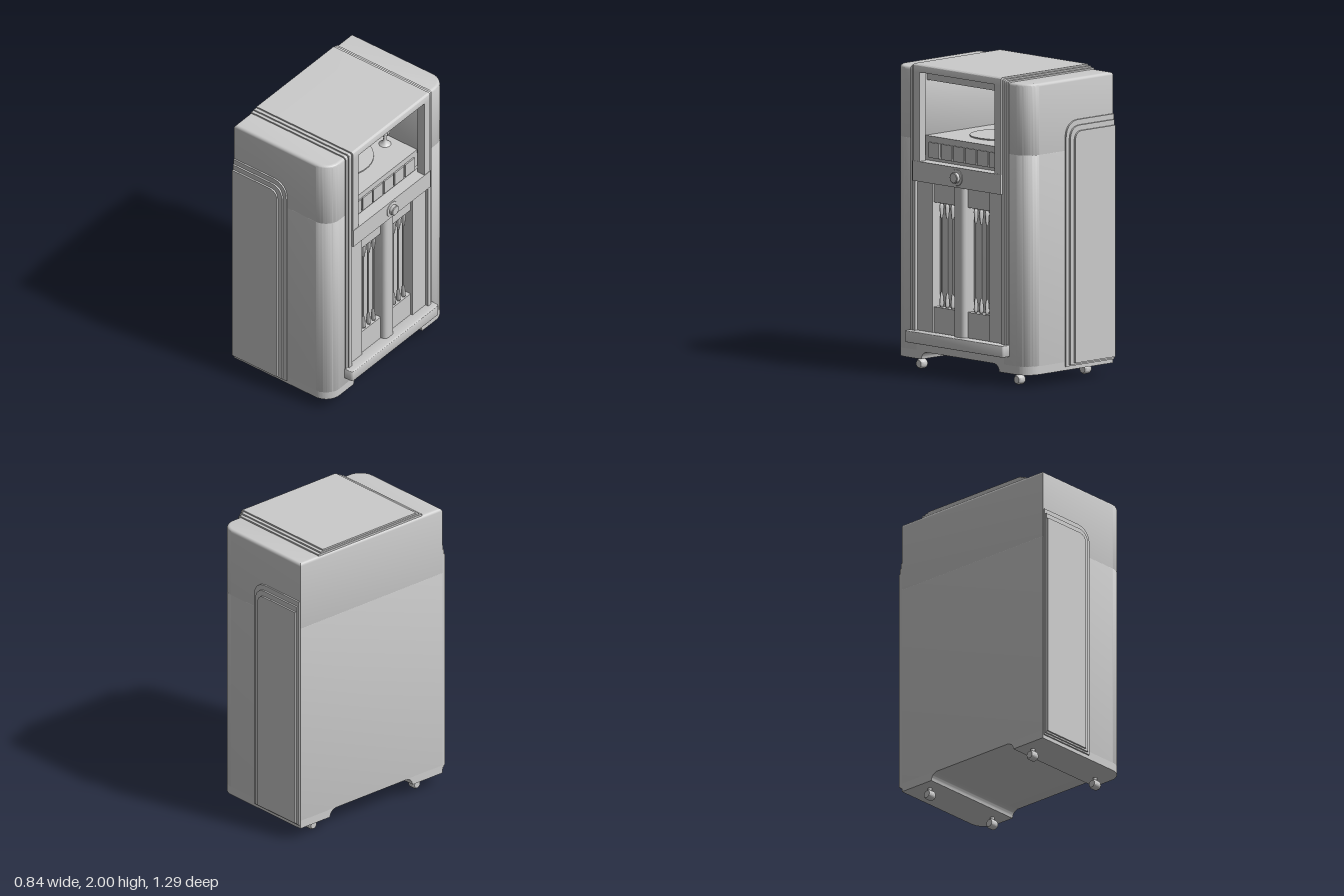
import * as THREE from 'three';
import { toCreasedNormals } from 'three/addons/utils/BufferGeometryUtils.js';

const mat = new THREE.MeshStandardMaterial({ color: 0xcccccc });

export function createModel() {
  const model = new THREE.Group();

  const add = (name, geo, x = 0, y = 0, z = 0) => {
    const m = new THREE.Mesh(geo, mat);
    m.name = name;
    m.position.set(x, y, z);
    model.add(m);
    return m;
  };
  // box given by its limits on each axis
  const box = (name, x0, x1, y0, y1, z0, z1) =>
    add(name, new THREE.BoxGeometry(x1 - x0, y1 - y0, z1 - z0), (x0 + x1) / 2, (y0 + y1) / 2, (z0 + z1) / 2);
  const extrude = (shape, depth, bevel = 0) => {
    const g = new THREE.ExtrudeGeometry(shape, {
      depth: depth - 2 * bevel, curveSegments: 12, bevelEnabled: bevel > 0,
      bevelSize: bevel, bevelThickness: bevel, bevelOffset: -bevel, bevelSegments: 4,
    });
    return toCreasedNormals(g.translate(0, 0, bevel), 0.6);
  };
  const upward = (name, shape, y0, y1, bevel) =>
    add(name, extrude(shape, y1 - y0, bevel).rotateX(-Math.PI / 2), 0, y0, 0);
  const forward = (name, shape, x0, x1) =>
    add(name, extrude(shape, x1 - x0).rotateY(Math.PI / 2), x0, 0, 0);
  const polygon = (pts) => new THREE.Shape(pts.map(([a, b]) => new THREE.Vector2(a, b)));

  // cabinet outline seen from above, rounded front corners and a central notch
  const plan = (halfNotch, notchX) => {
    const s = new THREE.Shape();
    s.moveTo(-0.42, -0.61);
    s.lineTo(0.245, -0.61);
    s.absarc(0.245, -0.5, 0.11, -Math.PI / 2, 0, false);
    s.lineTo(0.355, -halfNotch);
    s.lineTo(notchX, -halfNotch);
    s.lineTo(notchX, halfNotch);
    s.lineTo(0.355, halfNotch);
    s.lineTo(0.355, 0.5);
    s.absarc(0.245, 0.5, 0.11, 0, Math.PI / 2, false);
    s.lineTo(-0.42, 0.61);
    return s;
  };
  upward('lowerCabinet', plan(0.4, 0.28), 0.13, 1.51, 0.004);
  upward('upperCabinet', plan(0.36, -0.34), 1.488, 1.97, 0.02);

  // feet with the arched opening between them
  for (const s of [1, -1]) {
    const foot = new THREE.Shape();
    foot.moveTo(-0.42, 0.36);
    foot.lineTo(0.355, 0.36);
    foot.lineTo(0.355, 0.5);
    foot.absarc(0.245, 0.5, 0.11, 0, Math.PI / 2, false);
    foot.lineTo(-0.42, 0.61);
    const geo = extrude(foot, 0.056).rotateX(-Math.PI / 2);
    if (s < 0) geo.rotateX(Math.PI).translate(0, 0.056, 0);
    add('foot', geo, 0, 0.08, 0);
    const fillet = new THREE.Shape();
    fillet.moveTo(s * 0.365, 0.08);
    fillet.lineTo(s * 0.355, 0.08);
    fillet.bezierCurveTo(s * 0.35, 0.115, s * 0.33, 0.132, s * 0.28, 0.134);
    fillet.lineTo(s * 0.365, 0.136);
    forward('archFillet', fillet, -0.42, 0.355);
  }

  // stepped panels on both flanks
  const flank = [[0.015, 1.7, 0.105, 0.621, -0.415], [-0.012, 1.665, 0.115, 0.633, -0.412], [-0.045, 1.63, 0.125, 0.645, -0.408]];
  flank.forEach(([x, top, bottom, depth, back], i) => {
    const r = 0.12 - i * 0.027;
    const s = new THREE.Shape();
    s.moveTo(back, bottom);
    s.lineTo(x, bottom);
    s.lineTo(x, top - r);
    s.quadraticCurveTo(x, top, x - r, top);
    s.lineTo(back, top);
    for (const side of [1, -1])
      add('sidePanel', extrude(s, depth - 0.59), 0, 0, side > 0 ? 0.59 : -depth);
  });

  // stepped band running over the top and down the front
  [[0.445, 1.98, 0.362], [0.423, 1.99, 0.373], [0.4, 2, 0.385]].forEach(([w, top, x], i) => {
    const back = -0.41 + i * 0.004, r = 0.018;
    const s = new THREE.Shape();
    s.moveTo(back, 1.95);
    s.lineTo(x, 1.95);
    s.lineTo(x, top - r);
    s.absarc(x - r, top - r, r, 0, Math.PI / 2, false);
    s.lineTo(back, top);
    add('topBand', extrude(s, 2 * w), 0, 0, -w);
    if (i < 2)
      for (const side of [1, -1])
        box('frontBand', 0.33, x, 0.26, 1.95, Math.min(side * w, side * 0.395), Math.max(side * w, side * 0.395));
  });

  // window frame and the compartment behind it
  const frame = polygon([[-0.4, 1.36], [0.4, 1.36], [0.4, 1.951], [-0.4, 1.951]]);
  frame.holes.push(polygon([[-0.34, 1.37], [-0.34, 1.95], [0.34, 1.95], [0.34, 1.37]]));
  forward('windowFrame', frame, 0.33, 0.385);
  box('compartmentCeiling', -0.35, 0.3, 1.89, 1.955, -0.365, 0.365);
  box('deck', -0.35, 0.31, 1.4, 1.53, -0.365, 0.365);
  box('deckSkirt', 0.27, 0.305, 1.24, 1.5, -0.4, 0.4);
  for (let i = 0; i < 6; i++) {
    const z = -0.275 + i * 0.11;
    box('skirtBlock', 0.3, 0.32, 1.39, 1.49, z - 0.048, z + 0.048);
  }

  // turntable
  add('turntable', new THREE.CylinderGeometry(0.22, 0.22, 0.012, 48), -0.04, 1.532, 0);
  add('spindle', new THREE.CylinderGeometry(0.005, 0.005, 0.02, 10), -0.04, 1.545, 0);

  // tone arm: flared stand, ring-shaped bend and arm with head
  const stand = [[0.04, 0], [0.032, 0.008], [0.014, 0.025], [0.01, 0.05], [0.016, 0.075], [0, 0.09]];
  add('armStand', new THREE.LatheGeometry(stand.map(([a, b]) => new THREE.Vector2(a, b)), 20), 0.11, 1.53, -0.28);
  add('armRing', new THREE.TorusGeometry(0.045, 0.016, 12, 32), 0.06, 1.61, -0.315);
  const armPath = new THREE.CatmullRomCurve3([
    [0.11, 1.6, -0.29], [0.1, 1.62, -0.25], [0.06, 1.62, -0.21], [0.0, 1.615, -0.2], [-0.04, 1.615, -0.23],
  ].map((p) => new THREE.Vector3(...p)));
  add('toneArm', new THREE.TubeGeometry(armPath, 24, 0.014, 10));
  add('armHead', new THREE.CylinderGeometry(0.03, 0.03, 0.022, 20).rotateX(Math.PI / 2), -0.04, 1.61, -0.235);

  // rail with the round knob
  box('rail', 0.28, 0.388, 1.24, 1.37, -0.4, 0.4);
  const knob = [[0, 0], [0.055, 0], [0.052, 0.005], [0.035, 0.008], [0.035, 0.03], [0.03, 0.034], [0, 0.034]];
  add('knob', toCreasedNormals(new THREE.LatheGeometry(knob.map(([a, b]) => new THREE.Vector2(a, b)), 28).rotateZ(-Math.PI / 2), 0.6), 0.386, 1.305, 0);

  // lower front: apron, stiles, cross rails, recessed grille and centre post
  box('apron', 0.27, 0.355, 0.13, 0.262, -0.4, 0.4);
  box('grilleRail', 0.27, 0.335, 1.11, 1.24, -0.26, 0.26);
  box('grilleRail', 0.27, 0.335, 0.26, 0.43, -0.26, 0.26);
  const post = new THREE.Shape();
  post.moveTo(0.28, -0.05);
  post.lineTo(0.35, -0.05);
  post.quadraticCurveTo(0.372, -0.045, 0.375, -0.02);
  post.lineTo(0.375, 0.02);
  post.quadraticCurveTo(0.372, 0.045, 0.35, 0.05);
  post.lineTo(0.28, 0.05);
  upward('centrePost', post, 0.26, 1.24);
  const lobe = [[0.004, -0.05], [0.007, -0.03], [0.009, 0], [0.01, 0.03], [0.007, 0.045], [0, 0.05]];
  const lobeGeo = new THREE.LatheGeometry(lobe.map(([a, b]) => new THREE.Vector2(a, b)), 14).scale(1.8, 1, 1);
  for (const s of [1, -1]) {
    box('stile', 0.27, 0.35, 0.26, 1.24, s > 0 ? 0.26 : -0.4, s > 0 ? 0.4 : -0.26);
    for (const z of [0.105, 0.155, 0.207]) {
      add('grilleRod', new THREE.CylinderGeometry(0.006, 0.006, 0.68, 10), 0.315, 0.77, s * z);
      add('rodCap', lobeGeo, 0.318, 1.06, s * z);
      add('rodCap', lobeGeo, 0.318, 0.48, s * z).rotation.x = Math.PI;
    }
  }

  // plinth board with rounded front corners
  const plinth = new THREE.Shape();
  plinth.moveTo(0.34, -0.45);
  plinth.lineTo(0.4, -0.45);
  plinth.absarc(0.4, -0.43, 0.02, -Math.PI / 2, 0, false);
  plinth.lineTo(0.42, 0.43);
  plinth.absarc(0.4, 0.43, 0.02, 0, Math.PI / 2, false);
  plinth.lineTo(0.34, 0.45);
  upward('plinth', plinth, 0.19, 0.265, 0.004);

  // casters
  for (const x of [-0.335, 0.26])
    for (const z of [-0.445, 0.445]) {
      const wheel = [[0, -0.03], [0.024, -0.03], [0.032, -0.018], [0.032, 0.018], [0.024, 0.03], [0, 0.03]];
      add('casterWheel', toCreasedNormals(new THREE.LatheGeometry(wheel.map(([a, b]) => new THREE.Vector2(a, b)), 20).rotateZ(Math.PI / 2), 0.6), x, 0.032, z);
      add('casterStem', new THREE.CylinderGeometry(0.014, 0.014, 0.05, 12), x, 0.065, z);
    }
  return model;
}
